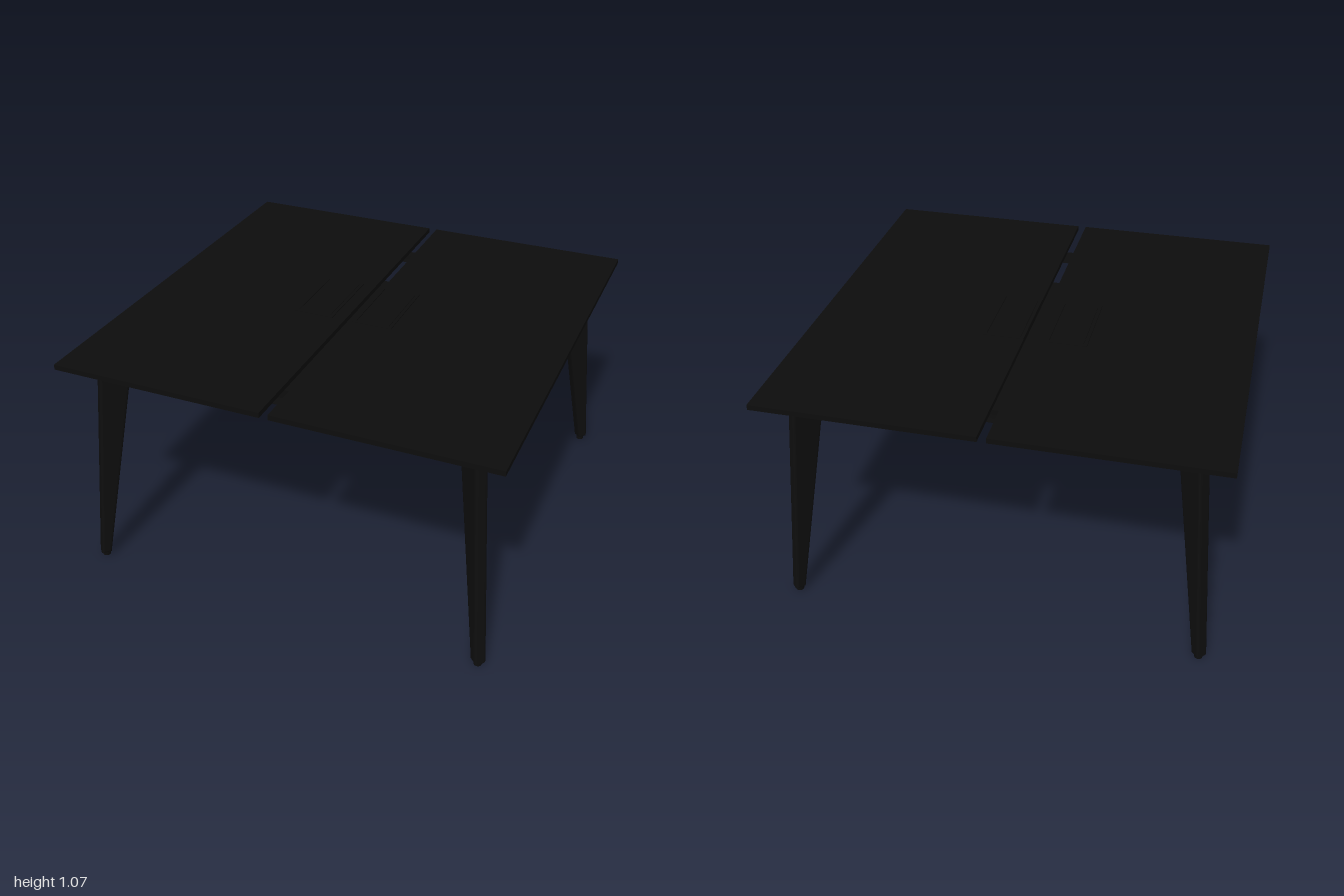
import * as THREE from 'three';

export function createModel() {
  const model = new THREE.Group();
  model.name = 'doubleDesk';
  const black = new THREE.MeshStandardMaterial({ color: 0x0d0d0d });
  const sheet = new THREE.MeshStandardMaterial({ color: 0x0d0d0d, side: THREE.DoubleSide });

  const add = (name, geometry, x, y, z, material = black) => {
    const mesh = new THREE.Mesh(geometry, material);
    mesh.name = name;
    mesh.position.set(x, y, z);
    model.add(mesh);
    return mesh;
  };
  const box = (name, w, h, d, x, y, z) => add(name, new THREE.BoxGeometry(w, h, d), x, y, z);

  // Two tops with a gap between them
  for (const s of [-1, 1]) box('deskTop', 0.98, 0.024, 2, s * 0.51, 1.056, 0);

  // Cable flaps: a slim raised frame around a lid
  for (const x of [-0.175, 0.115]) {
    const frame = new THREE.Shape();
    frame.moveTo(-0.095, -0.19).lineTo(0.095, -0.19).lineTo(0.095, 0.19).lineTo(-0.095, 0.19).closePath();
    const hole = new THREE.Path();
    hole.moveTo(-0.08, -0.175).lineTo(-0.08, 0.175).lineTo(0.08, 0.175).lineTo(0.08, -0.175).closePath();
    frame.holes.push(hole);
    const rim = new THREE.ExtrudeGeometry(frame, { depth: 0.006, bevelEnabled: false });
    add('flapFrame', rim.rotateX(-Math.PI / 2), x, 1.067, -0.04);
    box('flapLid', 0.154, 0.006, 0.344, x, 1.069, -0.04);
  }

  // Legs: tapered blades on the diagonals, curving into a short arm at the top
  const R = Math.SQRT2, thickness = 0.055, bevel = 0.012;
  const blade = new THREE.Shape();
  blade.moveTo(0.95 * R, 0.02);
  blade.lineTo(0.87 * R, 1.035);
  blade.lineTo(0.728 * R, 1.035);
  blade.lineTo(0.728 * R, 0.94);
  blade.bezierCurveTo(0.765 * R, 0.94, 0.785 * R, 0.92, 0.79 * R, 0.88);
  blade.lineTo(0.917 * R, 0.02);
  blade.closePath();
  const legGeometry = new THREE.ExtrudeGeometry(blade, {
    depth: thickness - 2 * bevel, bevelThickness: bevel, bevelSize: bevel,
    bevelOffset: -bevel, bevelSegments: 3, curveSegments: 10,
  }).translate(0, 0, bevel - thickness / 2);
  const footGeometry = new THREE.CylinderGeometry(0.018, 0.018, 0.03, 20);
  for (const sx of [-1, 1]) for (const sz of [-1, 1]) {
    add('leg', legGeometry, 0, 0, 0).rotation.y = Math.atan2(-sz, sx);
    add('foot', footGeometry, sx * 0.932, 0.015, sz * 0.932);
  }

  // Rectangular under-frame
  for (const s of [-1, 1]) {
    box('crossRail', 1.5, 0.042, 0.042, 0, 1.01, s * 0.73);
    box('sideRail', 0.042, 0.042, 1.46, s * 0.73, 1.01, 0);
    // Saddles carrying the tops on the cross rails
    for (const x of [-0.69, -0.322, 0.316, 0.685]) box('topSaddle', 0.046, 0.066, 0.09, x, 1.017, s * 0.714);
  }

  // Cable tray: thin open-ended channel with flanges
  const z = 0.01, length = 1.31;
  box('trayFloor', 0.524, 0.003, length, 0, 0.89, z);
  for (const s of [-1, 1]) {
    add('trayWall', new THREE.PlaneGeometry(length, 0.14).rotateY(Math.PI / 2), s * 0.262, 0.96, z, sheet);
    add('trayFlange', new THREE.PlaneGeometry(0.08, length).rotateX(-Math.PI / 2), s * 0.302, 1.03, z, sheet);
    // Tabs tying the flanges to the cross rails
    for (const e of [-1, 1]) box('trayTab', 0.045, 0.004, 0.08, s * 0.32, 1.029, e * 0.68);
  }
  return model;
}
